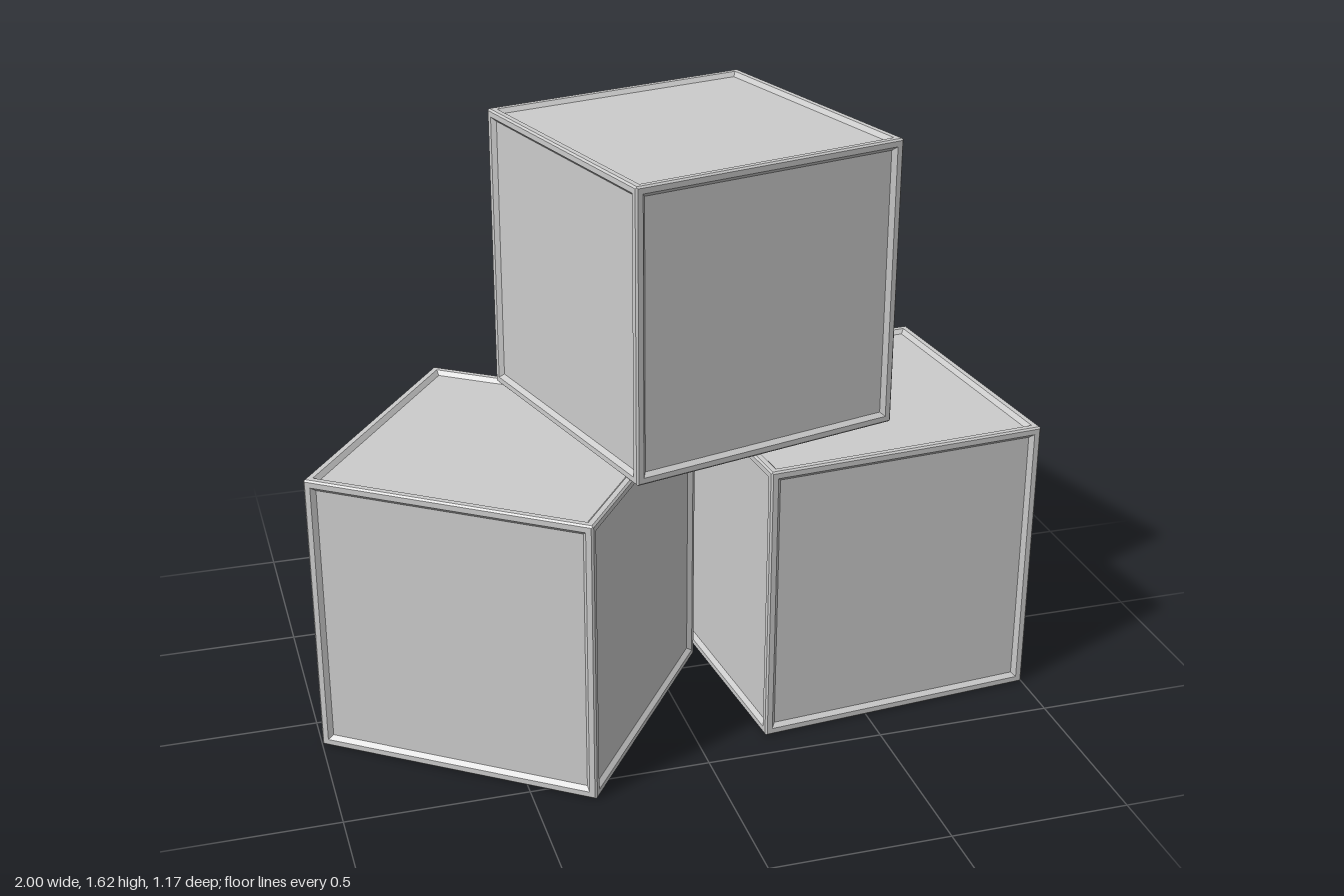
import * as THREE from 'three';
import { mergeGeometries } from 'three/addons/utils/BufferGeometryUtils.js';

const SIDE = 0.812;

// One square face: chamfered outer edge, flat rim, sloped lip, sunken panel
function faceGeometry() {
  const h = SIDE / 2, chamfer = 0.005, rim = 0.02, lip = 0.011, depth = 0.012;
  const profile = [
    [h - chamfer / 2, h - chamfer / 2],
    [h - chamfer, h],
    [h - rim, h],
    [h - rim - lip, h - depth],
    [0, h - depth],
  ].map(([r, y]) => new THREE.Vector2(r * Math.SQRT2, y));
  const geometry = new THREE.LatheGeometry(profile, 4, Math.PI / 4).toNonIndexed();
  geometry.computeVertexNormals();
  return geometry;
}

// Six faces turned to cover every side of the crate
function crateGeometry() {
  const face = faceGeometry();
  const q = Math.PI / 2;
  const turns = [[0, 0], [q, 0], [2 * q, 0], [-q, 0], [0, q], [0, -q]];
  return mergeGeometries(turns.map(([x, z]) => face.clone().rotateX(x).rotateZ(z)));
}

export function createModel() {
  const group = new THREE.Group();
  const geometry = crateGeometry();
  const material = new THREE.MeshStandardMaterial({ color: 0xcccccc, flatShading: true });

  // Two crates on the ground and one stacked across them: name, x, level, z, turn in degrees
  const crates = [
    ['lowerRightCrate', -0.434, 0, 0.02, -35.5],
    ['lowerLeftCrate', 0.56, 0, -0.023, 5],
    ['upperCrate', 0.12, 1, -0.096, 14.5],
  ];
  for (const [name, x, level, z, turn] of crates) {
    const crate = new THREE.Mesh(geometry, material);
    crate.name = name;
    crate.position.set(x, SIDE * (level + 0.5), z);
    crate.rotation.y = THREE.MathUtils.degToRad(turn);
    group.add(crate);
  }
  return group;
}
